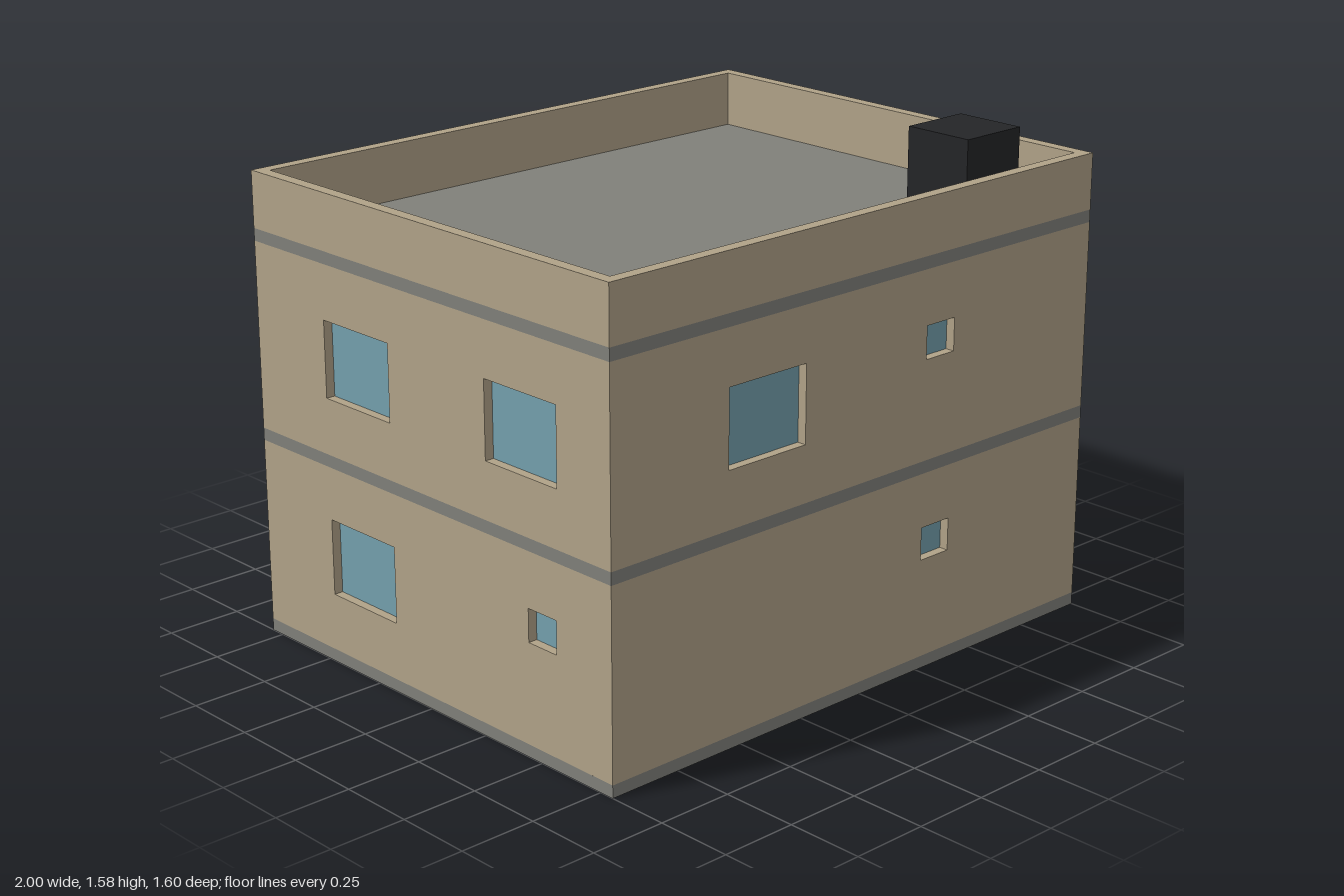
import * as THREE from 'three';

const W = 2, D = 1.6, T = 0.04, RECESS = 0.03;

const mat = (color) => new THREE.MeshStandardMaterial({ color });

export function createModel() {
  const house = new THREE.Group();
  house.name = 'house';
  const wallMat = mat(0xb0a288), slabMat = mat(0x80807a), chimneyMat = mat(0x242527);
  const fills = { window: mat(0x749fad), door: mat(0x664533), garageDoor: mat(0x70757a) };

  function box(parent, name, material, x0, x1, y0, y1, z0, z1) {
    const mesh = new THREE.Mesh(new THREE.BoxGeometry(x1 - x0, y1 - y0, z1 - z0), material);
    mesh.position.set((x0 + x1) / 2, (y0 + y1) / 2, (z0 + z1) / 2);
    mesh.name = name;
    parent.add(mesh);
  }

  // One storey of wall; the outer face lies at local z = 0, openings cut through.
  // Openings are [kind, u0, u1, y0, y1] along the wall's own axis.
  function wall(side, half, y0, y1, openings) {
    const shape = new THREE.Shape();
    shape.moveTo(-half, y0);
    for (const [kind, u0, u1, , top] of openings.filter((o) => o[0] !== 'window').sort((a, b) => a[1] - b[1])) {
      // doors are notches in the bottom edge
      shape.lineTo(u0, y0).lineTo(u0, top).lineTo(u1, top).lineTo(u1, y0);
    }
    shape.lineTo(half, y0).lineTo(half, y1).lineTo(-half, y1).closePath();
    for (const [kind, u0, u1, v0, v1] of openings) {
      if (kind === 'window') {
        const hole = new THREE.Path();
        hole.moveTo(u0, v0).lineTo(u0, v1).lineTo(u1, v1).lineTo(u1, v0).closePath();
        shape.holes.push(hole);
      }
      box(side, kind, fills[kind], u0, u1, v0, v1, -T, -RECESS);
    }
    const geo = new THREE.ExtrudeGeometry(shape, { depth: T, bevelEnabled: false });
    geo.translate(0, 0, -T);
    const mesh = new THREE.Mesh(geo, wallMat);
    mesh.name = 'wall';
    side.add(mesh);
  }

  // Floor slabs, flush with the walls; the top one is the roof
  const slabs = [['groundSlab', 0], ['floorSlab', 0.64], ['roofSlab', 1.28]];
  for (const [name, y] of slabs) box(house, name, slabMat, -W / 2, W / 2, y, y + T, -D / 2, D / 2);

  // Each side seen from outside: u runs to the viewer's right
  const sides = [
    { name: 'frontSide', angle: 0, dist: D / 2, half: W / 2,
      lower: [['window', 0.26, 0.38, 0.36, 0.465]],
      upper: [['window', -0.555, -0.25, 0.86, 1.105], ['window', 0.26, 0.38, 1.0, 1.105]] },
    { name: 'rightSide', angle: Math.PI / 2, dist: W / 2, half: D / 2 - T,
      lower: [['window', -0.4, -0.2, 0.28, 0.445]],
      upper: [['window', 0.295, 0.5, 0.88, 1.085]] },
    { name: 'backSide', angle: Math.PI, dist: D / 2, half: W / 2,
      lower: [['door', -0.85, -0.65, 0.04, 0.485], ['garageDoor', -0.1, 0.5, 0.04, 0.56]],
      upper: [['window', -0.835, -0.67, 0.92, 1.085], ['window', -0.44, -0.2, 0.88, 1.095],
        ['window', 0.45, 0.75, 0.86, 1.105]] },
    { name: 'leftSide', angle: -Math.PI / 2, dist: W / 2, half: D / 2 - T,
      lower: [['window', -0.465, -0.16, 0.225, 0.47], ['window', 0.45, 0.57, 0.36, 0.465]],
      upper: [['window', -0.465, -0.16, 0.86, 1.105], ['window', 0.275, 0.58, 0.86, 1.105]] },
  ];
  for (const { name, angle, dist, half, lower, upper } of sides) {
    const side = new THREE.Group();
    side.name = name;
    wall(side, half, 0.04, 0.64, lower);
    wall(side, half, 0.68, 1.28, upper);
    wall(side, half, 1.32, 1.5, []); // parapet
    side.rotation.y = angle;
    side.position.set(Math.sin(angle) * dist, 0, Math.cos(angle) * dist);
    house.add(side);
  }

  // Chimney standing on the roof slab
  box(house, 'chimney', chimneyMat, 0.6, 0.84, 1.32, 1.58, 0.4, 0.64);

  return house;
}
